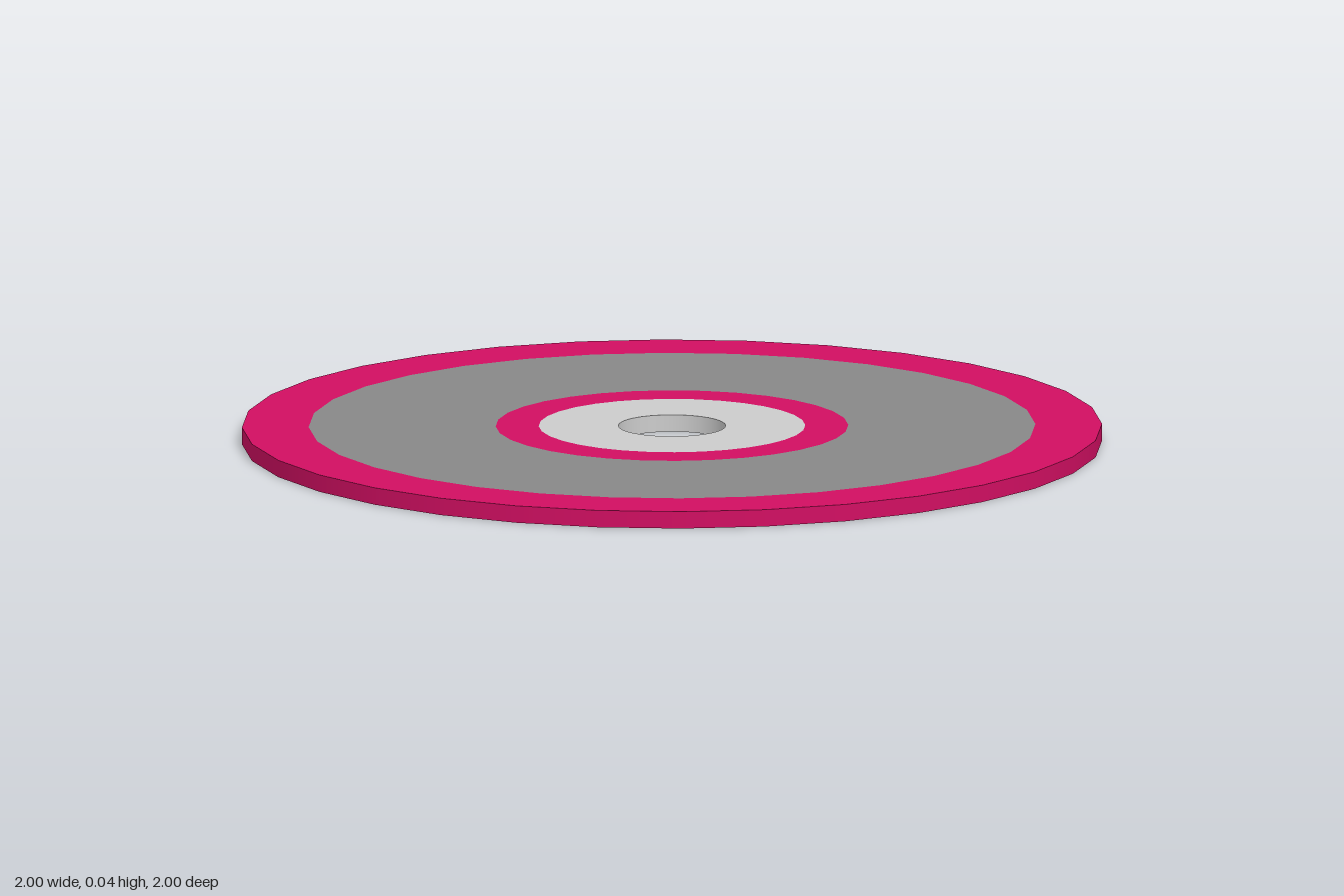
import * as THREE from 'three';

const SIDES = 32;
const HEIGHT = 0.04;
const HOLE = 0.125, HUB = 0.31, COLLAR = 0.41, BAND = 0.845, RIM = 1;

const material = (color) => new THREE.MeshStandardMaterial({ color });
const pink = material(0xd10f62);
const grey = material(0xcccccc);
const darkGrey = material(0x888888);

function addMesh(parent, name, geometry, mat) {
  const mesh = new THREE.Mesh(geometry, mat);
  mesh.name = name;
  parent.add(mesh);
  return mesh;
}

// Flat ring facing up on the top of the disc, or down on its underside
function addFace(parent, name, inner, outer, mat, top) {
  const geometry = new THREE.RingGeometry(inner, outer, SIDES);
  geometry.rotateX(top ? -Math.PI / 2 : Math.PI / 2);
  geometry.translate(0, top ? HEIGHT : 0, 0);
  return addMesh(parent, name, geometry, mat);
}

// Upright wall; facing = -1 turns it toward the axis
function addWall(parent, name, radius, mat, facing) {
  const profile = [new THREE.Vector2(radius, 0), new THREE.Vector2(radius, HEIGHT)];
  if (facing < 0) profile.reverse();
  return addMesh(parent, name, new THREE.LatheGeometry(profile, SIDES), mat);
}

export function createModel() {
  const disc = new THREE.Group();
  disc.name = 'disc';

  // Concentric flush bands, on both sides
  for (const top of [true, false]) {
    const side = top ? 'Top' : 'Bottom';
    addFace(disc, 'hub' + side, HOLE, HUB, grey, top);
    addFace(disc, 'collar' + side, HUB, COLLAR, pink, top);
    addFace(disc, 'band' + side, COLLAR, BAND, top ? darkGrey : grey, top);
    addFace(disc, 'rim' + side, BAND, RIM, pink, top);
  }

  // Outer edge and the wall of the centre hole
  addWall(disc, 'outerEdge', RIM, pink, 1);
  addWall(disc, 'holeWall', HOLE, grey, -1);

  return disc;
}
